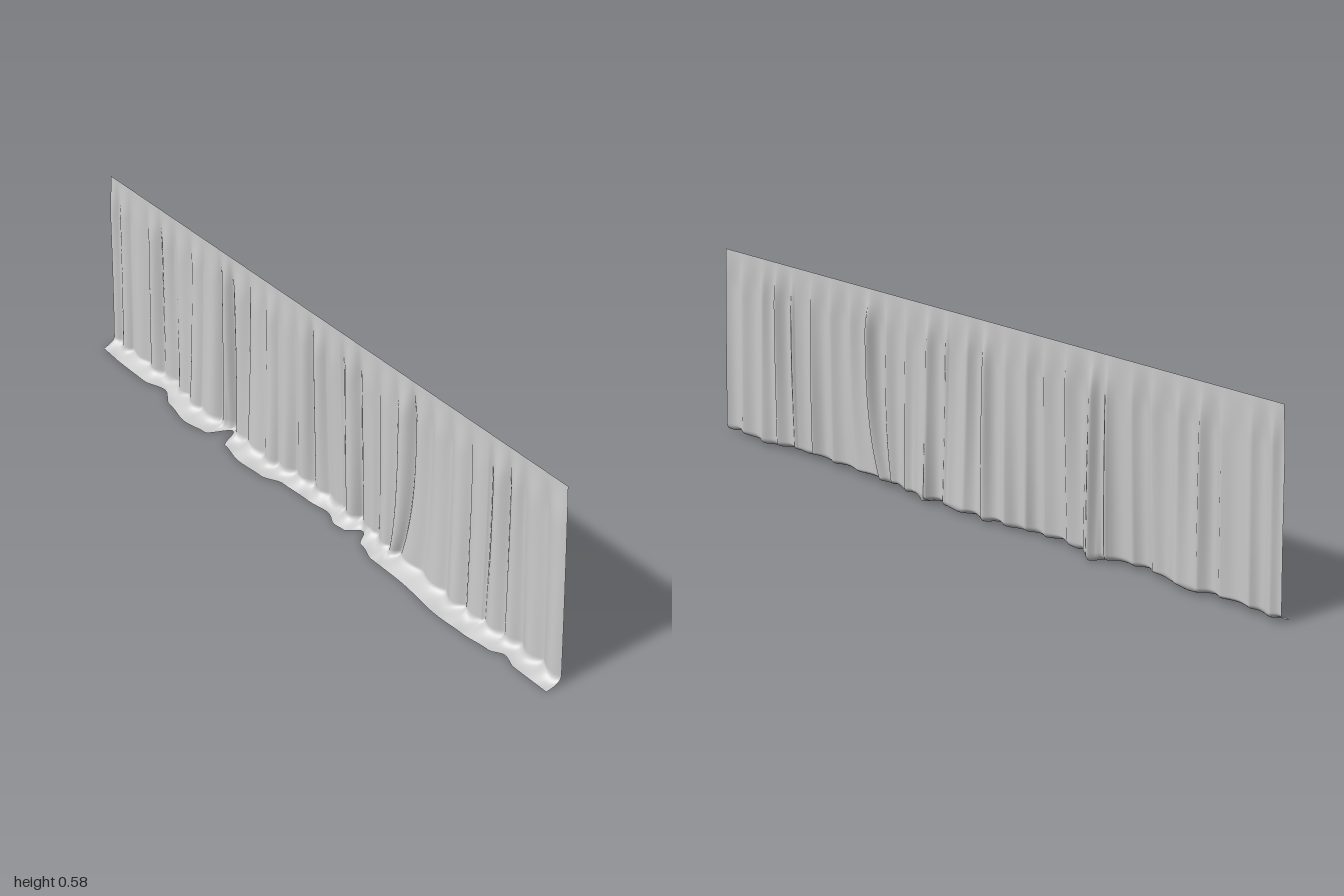
import * as THREE from 'three';

const HEIGHT = 0.585, TOP_Z = -0.035;

// x positions of the pleat grooves
const GROOVES = [-1.02, -0.97, -0.9, -0.82, -0.75, -0.68, -0.6, -0.525, -0.45, -0.4, -0.31, -0.24, -0.17, -0.1,
  -0.03, 0.04, 0.11, 0.18, 0.265, 0.335, 0.41, 0.48, 0.56, 0.64, 0.715, 0.785, 0.84, 0.92, 1.02];
const DEEP = [-0.45, -0.4, -0.03, 0.18, 0.41];

// [x, z] outline of the hem lying on the floor
const HEM = [[-1, 0.015], [-0.9, 0.02], [-0.78, 0.02], [-0.7, -0.002], [-0.62, 0.032], [-0.53, 0.048], [-0.45, 0.034],
  [-0.4, -0.035], [-0.35, 0.027], [-0.27, 0.042], [-0.18, 0.035], [-0.1, 0.008], [0, 0.002], [0.07, -0.008],
  [0.13, 0.012], [0.17, 0.008], [0.21, -0.03], [0.25, 0.012], [0.32, 0.03], [0.45, 0.03], [0.6, 0.046],
  [0.7, 0.042], [0.79, 0.032], [0.83, 0.012], [0.88, 0.026], [1, 0.025]];

const { lerp, clamp, smoothstep } = THREE.MathUtils;

function hemAt(x) {
  let i = 0;
  while (i < HEM.length - 2 && x > HEM[i + 1][0]) i++;
  const [a, b] = [HEM[i], HEM[i + 1]];
  return lerp(a[1], b[1], smoothstep(x, a[0], b[0]));
}

// Rounded bulges between narrow grooves, range about -1..1
function pleat(x) {
  let i = 0;
  while (i < GROOVES.length - 2 && x > GROOVES[i + 1]) i++;
  const t = (x - GROOVES[i]) / (GROOVES[i + 1] - GROOVES[i]);
  const height = 0.8 + 0.3 * Math.sin(i * 2.4);
  let z = height * (2 * Math.pow(Math.sin(Math.PI * t), 1.2) - 1);
  for (const d of DEEP) z -= 0.7 * Math.exp(-(((x - d) / 0.013) ** 2));
  return z;
}

// Point on the cloth: u runs along the width, v from the top edge to the hem
function clothPoint(u, v, target) {
  const x0 = lerp(-1, 1, u);
  const hem = hemAt(x0);
  const wall = clamp(-0.028 + 0.6 * (hem - 0.02), -0.041, -0.01);
  const V = 0.7; // share of v spent on the hanging part
  const hang = Math.min(v / V, 1);
  const s = 1 - (1 - hang) ** 1.25; // denser rows near the floor
  const bend = 0.028;
  let y = lerp(HEIGHT, bend, s);
  const amp = 0.01 * smoothstep(s, 0, 0.22) * (0.85 + 0.15 * Math.sin(x0 * 17 + s * 4));
  let z = lerp(TOP_Z, wall, s ** 1.5) + amp * pleat(x0);
  if (v > V) {
    // curve out of the wall and lie flat up to the hem
    const f = (v - V) / (1 - V);
    const reach = Math.max(hem - z, 0.006);
    const a = f * Math.PI / 2;
    z += reach * (1 - Math.cos(a));
    y = bend * (1 - Math.sin(a)) ** 1.3;
    y += 0.004 * Math.sin(f * Math.PI) * (1 + Math.sin(x0 * 43 + 2 * Math.sin(x0 * 19)));
  }
  // sides widen downward, some pleats lean near the floor
  let x = lerp(lerp(-0.985, 0.96, u), lerp(-1, 0.997, u), s);
  x -= 0.045 * s ** 4 * Math.exp(-(((x0 - 0.41) / 0.08) ** 2));
  x += 0.006 * s ** 2 * Math.sin(x0 * 23) * (1 - x0 * x0);
  target.set(x, Math.max(y, 0), z);
}

// Grid of cloth points, front faces toward +z
function clothGeometry(cols, rows) {
  const geometry = new THREE.PlaneGeometry(2, HEIGHT, cols, rows);
  const position = geometry.attributes.position;
  const p = new THREE.Vector3();
  for (let j = 0, k = 0; j <= rows; j++) {
    for (let i = 0; i <= cols; i++, k++) {
      clothPoint(i / cols, j / rows, p);
      position.setXYZ(k, p.x, p.y, p.z);
    }
  }
  geometry.computeVertexNormals();
  return geometry;
}

export function createModel() {
  const group = new THREE.Group();
  group.name = 'curtain';
  const cloth = new THREE.Mesh(
    clothGeometry(400, 50),
    new THREE.MeshStandardMaterial({ color: 0xcccccc, side: THREE.DoubleSide })
  );
  cloth.name = 'pleatedCloth';
  group.add(cloth);
  return group;
}
